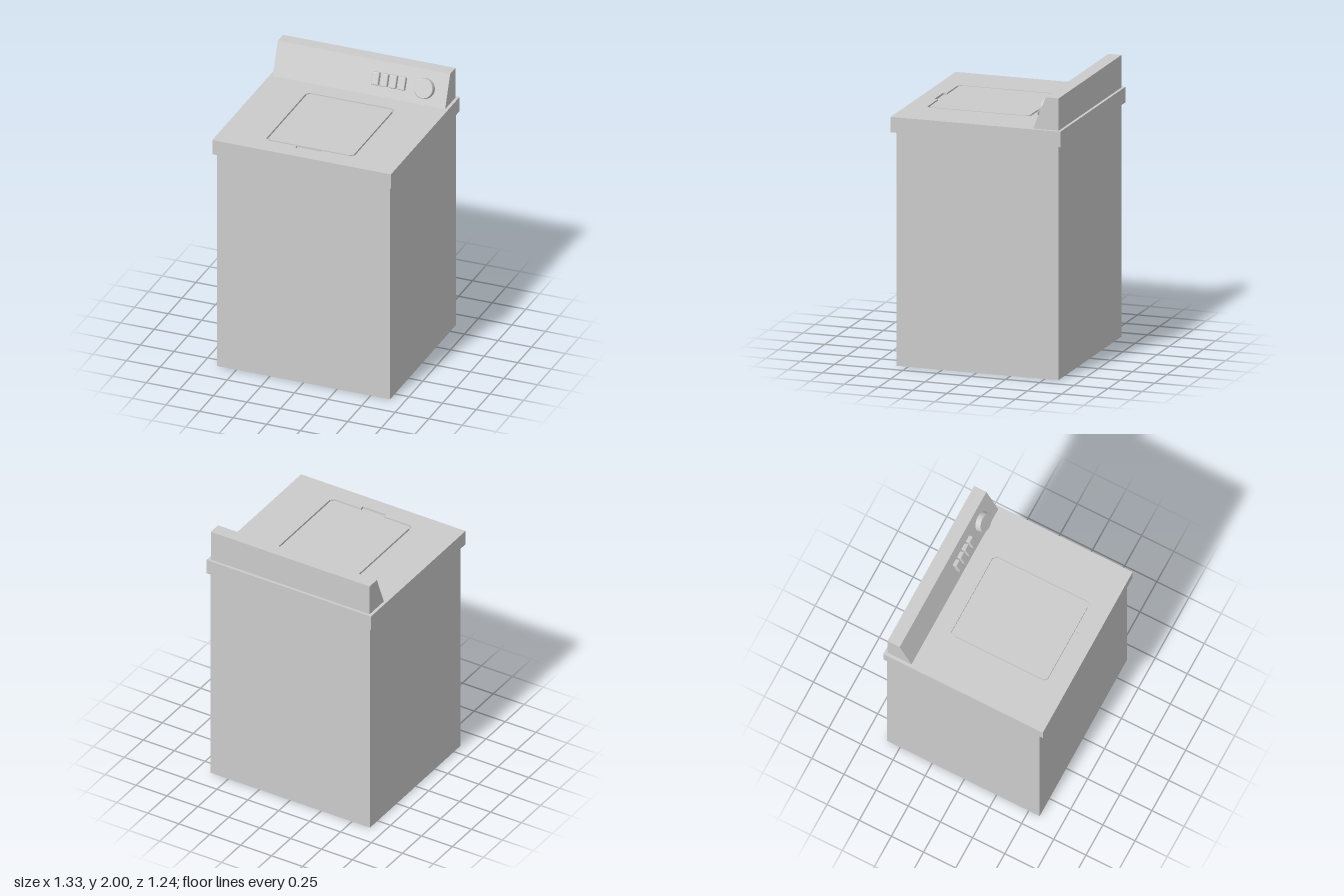
import * as THREE from 'three';
import { RoundedBoxGeometry } from 'three/addons/geometries/RoundedBoxGeometry.js';

const grey = new THREE.MeshStandardMaterial({ color: 0xcccccc });
const greyDouble = new THREE.MeshStandardMaterial({ color: 0xcccccc, side: THREE.DoubleSide });

function add(parent, name, geometry, x = 0, y = 0, z = 0, material = grey) {
  const mesh = new THREE.Mesh(geometry, material);
  mesh.name = name;
  mesh.position.set(x, y, z);
  parent.add(mesh);
  return mesh;
}

// Chamfered rectangle in (x, z), with an optional finger notch on the front edge
function doorOutline(halfWidth, back, front, chamfer, notch) {
  const w = halfWidth, c = chamfer;
  const points = [[-w, back + c], [-w + c, back], [w - c, back], [w, back + c], [w, front - c], [w - c, front]];
  if (notch) points.push([notch.w, front], [notch.w, notch.z], [-notch.w, notch.z], [-notch.w, front]);
  points.push([-w + c, front], [-w, front - c]);
  return points.map(([x, z]) => new THREE.Vector2(x, -z));
}

// Extrude a plan shape upwards from y = 0
function slab(shape, height) {
  return new THREE.ExtrudeGeometry(shape, { depth: height, bevelEnabled: false }).rotateX(-Math.PI / 2);
}

export function createModel() {
  const model = new THREE.Group();
  model.name = 'washingMachine';

  // Cabinet: four thin walls, open underneath
  const cabinet = new THREE.BoxGeometry(1.29, 1.66, 1.185);
  const index = Array.from(cabinet.index.array);
  cabinet.setIndex([...index.slice(0, 12), ...index.slice(24)]);
  cabinet.clearGroups();
  add(model, 'cabinet', cabinet, 0, 0.83, -0.0075, greyDouble);

  // Top deck: base slab, rim with the door opening, and the door set in it
  const top = 1.77, groove = 0.015;
  const deckHeight = top - groove - 1.66;
  add(model, 'deckBase', new THREE.BoxGeometry(1.33, deckHeight, 1.24), 0, 1.66 + deckHeight / 2, 0);
  const rim = new THREE.Shape([[-0.665, -0.62], [0.665, -0.62], [0.665, 0.62], [-0.665, 0.62]]
    .map(([x, y]) => new THREE.Vector2(x, y)));
  rim.holes.push(new THREE.Path(doorOutline(0.331, -0.281, 0.479, 0.024, { w: 0.094, z: 0.505 })));
  add(model, 'deckRim', slab(rim, groove), 0, top - groove, 0);
  const door = new THREE.Shape(doorOutline(0.318, -0.267, 0.465, 0.02));
  add(model, 'door', slab(door, groove), 0, top - groove, 0);

  // Control console: wedge profile in (z, y), extruded across the width
  const profile = new THREE.Shape([[0.6, 1.77], [0.6, 2], [0.505, 2], [0.413, 1.77]]
    .map(([back, y]) => new THREE.Vector2(-back, y)));
  const wedge = new THREE.ExtrudeGeometry(profile, { depth: 1.284, bevelEnabled: false });
  wedge.rotateY(-Math.PI / 2).translate(0.642, 0, 0);
  // Turn the profile so that its first axis runs along +z
  add(model, 'console', wedge);

  // Controls sit on the sloping console face
  const controls = new THREE.Group();
  controls.name = 'controls';
  controls.position.set(0, 1.885, -0.459);
  controls.rotation.x = -Math.atan2(0.092, 0.23);
  model.add(controls);

  for (let i = 0; i < 4; i++) {
    add(controls, 'button' + (i + 1), new RoundedBoxGeometry(0.054, 0.092, 0.05, 2, 0.007),
      0.112 + i * 0.065, -0.003, 0.004);
  }

  // Dial: short drum with a softened front edge
  const dial = new THREE.Group();
  dial.name = 'dial';
  dial.position.set(0.475, -0.008, 0);
  dial.rotation.x = Math.PI / 2;
  controls.add(dial);
  add(dial, 'dialSide', new THREE.CylinderGeometry(0.07, 0.073, 0.045, 40, 1, true), 0, 0.0125, 0);
  add(dial, 'dialEdge', new THREE.CylinderGeometry(0.066, 0.07, 0.004, 40), 0, 0.037, 0);

  return model;
}
